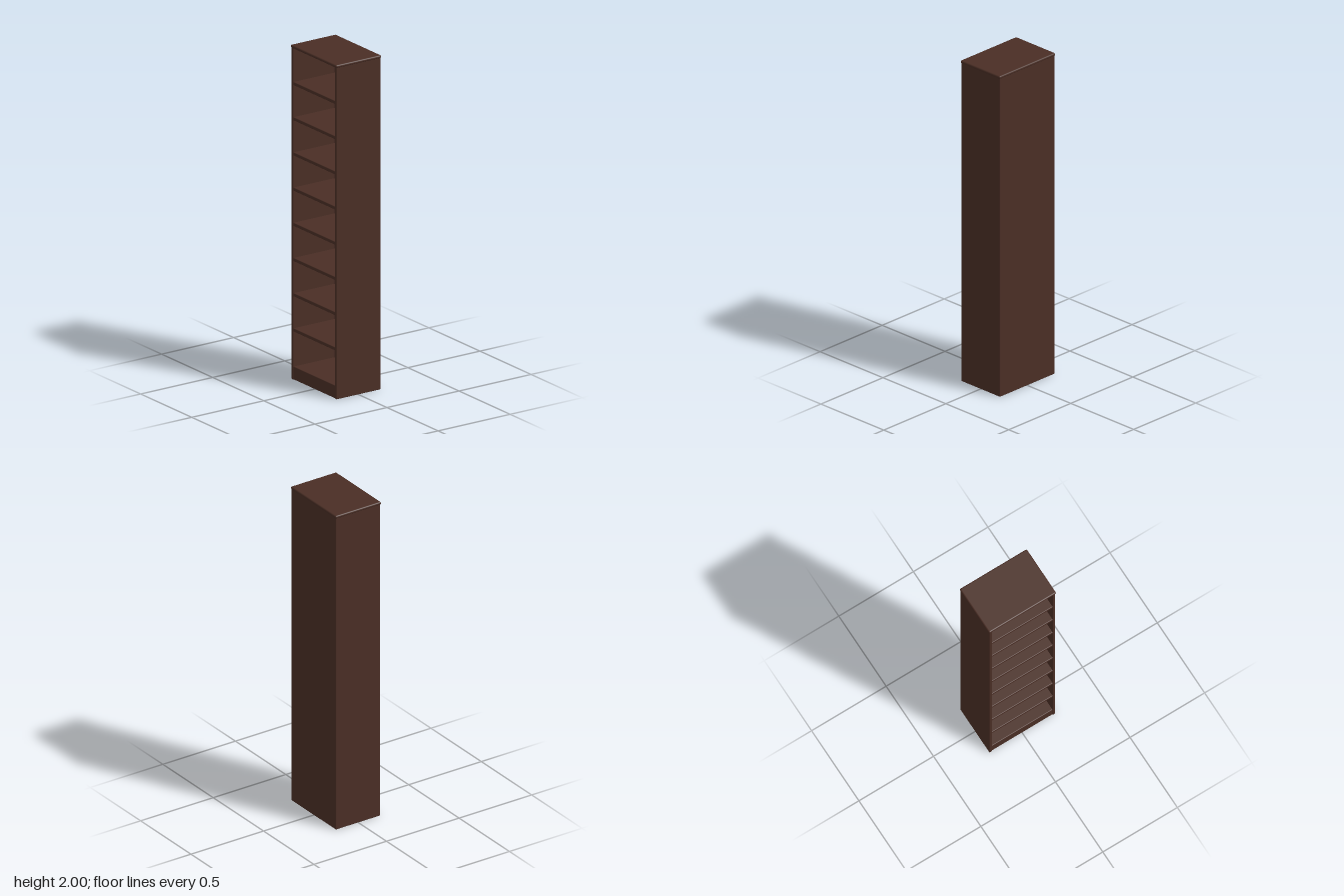
import * as THREE from 'three';
import { RoundedBoxGeometry } from 'three/addons/geometries/RoundedBoxGeometry.js';

export function createModel() {
  const model = new THREE.Group();
  model.name = 'bookcase';
  const wood = new THREE.MeshStandardMaterial({ color: 0x4a2e25 });
  wood.name = 'dark brown wood';

  // A softly rounded board given by its lower and upper limits on each axis
  function board(name, [x0, x1], [y0, y1], [z0, z1], radius = 0.004) {
    const geometry = new RoundedBoxGeometry(x1 - x0, y1 - y0, z1 - z0, 3, radius);
    const mesh = new THREE.Mesh(geometry, wood);
    mesh.name = name;
    mesh.position.set((x0 + x1) / 2, (y0 + y1) / 2, (z0 + z1) / 2);
    model.add(mesh);
    return mesh;
  }

  const outer = 0.221, inner = 0.204;
  const back = -0.155, front = 0.152;

  // Side walls
  board('leftSide', [inner, outer], [0, 1.99], [back, front]);
  board('rightSide', [-outer, -inner], [0, 1.99], [back, front]);

  // Back panel, reaching into both sides
  board('backPanel', [-outer + 0.002, outer - 0.002], [0, 1.99], [back, back + 0.017]);

  // Top board with a slight overhang
  board('topBoard', [-0.225, 0.225], [1.982, 2], [-0.158, 0.156], 0.008);

  // Hollow plinth: front board below the lowest shelf
  board('plinthFront', [-outer + 0.002, outer - 0.002], [0, 0.078], [0.129, 0.148]);
  board('bottomShelf', [-inner - 0.005, inner + 0.005], [0.058, 0.078], [back + 0.01, 0.148]);

  // Eight evenly spaced shelves
  for (let i = 0; i < 8; i++) {
    const y = 0.297 + i * 0.2105;
    board('shelf' + (i + 1), [-inner - 0.005, inner + 0.005], [y - 0.01, y + 0.01], [back + 0.01, 0.149]);
  }

  // Small concave fillets along the back edges of every compartment
  const r = 0.01;
  const profile = new THREE.Shape();
  profile.moveTo(0, 0);
  profile.lineTo(r, 0);
  profile.absarc(r, r, r, -Math.PI / 2, -Math.PI, true);
  profile.lineTo(0, 0);
  const fillet = new THREE.ExtrudeGeometry(profile, { depth: 1.9, bevelEnabled: false, curveSegments: 4 });
  fillet.rotateX(-Math.PI / 2);
  for (const side of [-1, 1]) {
    const mesh = new THREE.Mesh(fillet, wood);
    mesh.name = side > 0 ? 'leftCornerFillet' : 'rightCornerFillet';
    mesh.rotation.y = side > 0 ? Math.PI : -Math.PI / 2;
    mesh.position.set(side * inner, 0.078, back + 0.017);
    model.add(mesh);
  }
  return model;
}
